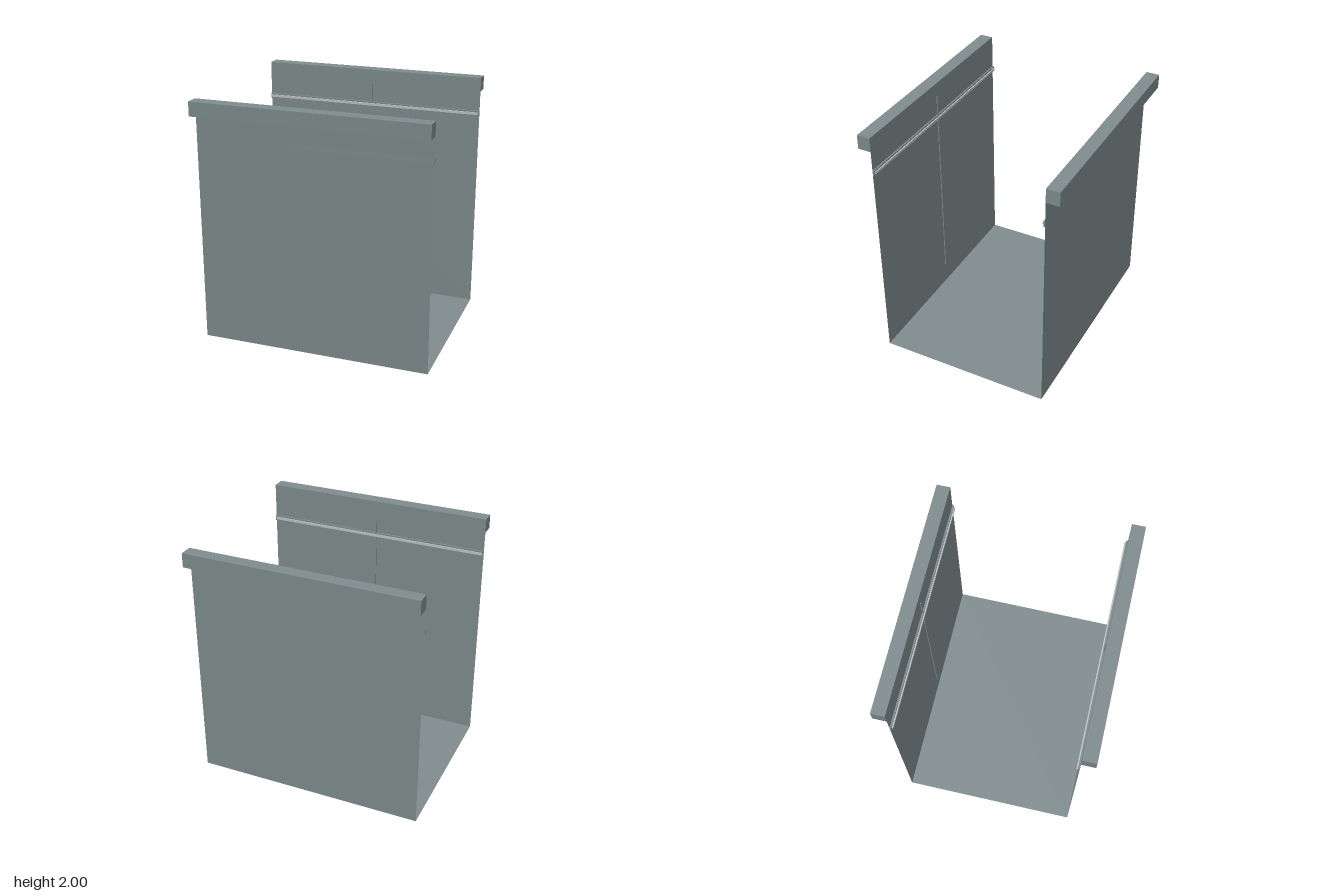
import * as THREE from 'three';

export function createModel() {
  const model = new THREE.Group();
  const panel = new THREE.MeshStandardMaterial({ color: 0x7f8c8d, side: THREE.DoubleSide });
  panel.name = 'greyPanel';
  const bright = new THREE.MeshStandardMaterial({ color: 0xbdc3c7 });
  bright.name = 'paleMetal';

  const width = 1.88, wallZ = 0.706, beamBottom = 1.885;

  const add = (parent, name, geometry, material, x, y, z) => {
    const mesh = new THREE.Mesh(geometry, material);
    mesh.name = name;
    mesh.position.set(x, y, z);
    parent.add(mesh);
    return mesh;
  };
  const box = (w, h, d) => new THREE.BoxGeometry(w, h, d);

  // Open sheet floor
  const floor = add(model, 'floor', new THREE.PlaneGeometry(width, wallZ * 2), panel, 0, 0, 0);
  floor.rotation.x = -Math.PI / 2;

  // Two matching sides, the second turned to face the first
  for (const name of ['frontSide', 'backSide']) {
    const side = new THREE.Group();
    side.name = name;
    side.rotation.y = name === 'backSide' ? Math.PI : 0;
    model.add(side);

    // Thin wall and the beam above it, set outwards
    add(side, 'wall', new THREE.PlaneGeometry(width, beamBottom), panel, 0, beamBottom / 2, wallZ);
    add(side, 'topBeam', box(width, 2 - beamBottom, 0.108), panel, 0, (2 + beamBottom) / 2, wallZ + 0.054);

    // Upright seam strip on the inner face
    add(side, 'seamStrip', box(0.012, 1.705, 0.008), panel, 0, 1.0325, wallZ - 0.004);

    // Inner rail: backing plate with a slimmer pale bar
    add(side, 'railPlate', box(width, 0.044, 0.014), panel, 0, 1.703, wallZ - 0.007);
    add(side, 'railBar', box(width - 0.02, 0.02, 0.01), bright, 0, 1.703, wallZ - 0.019);
  }
  return model;
}
